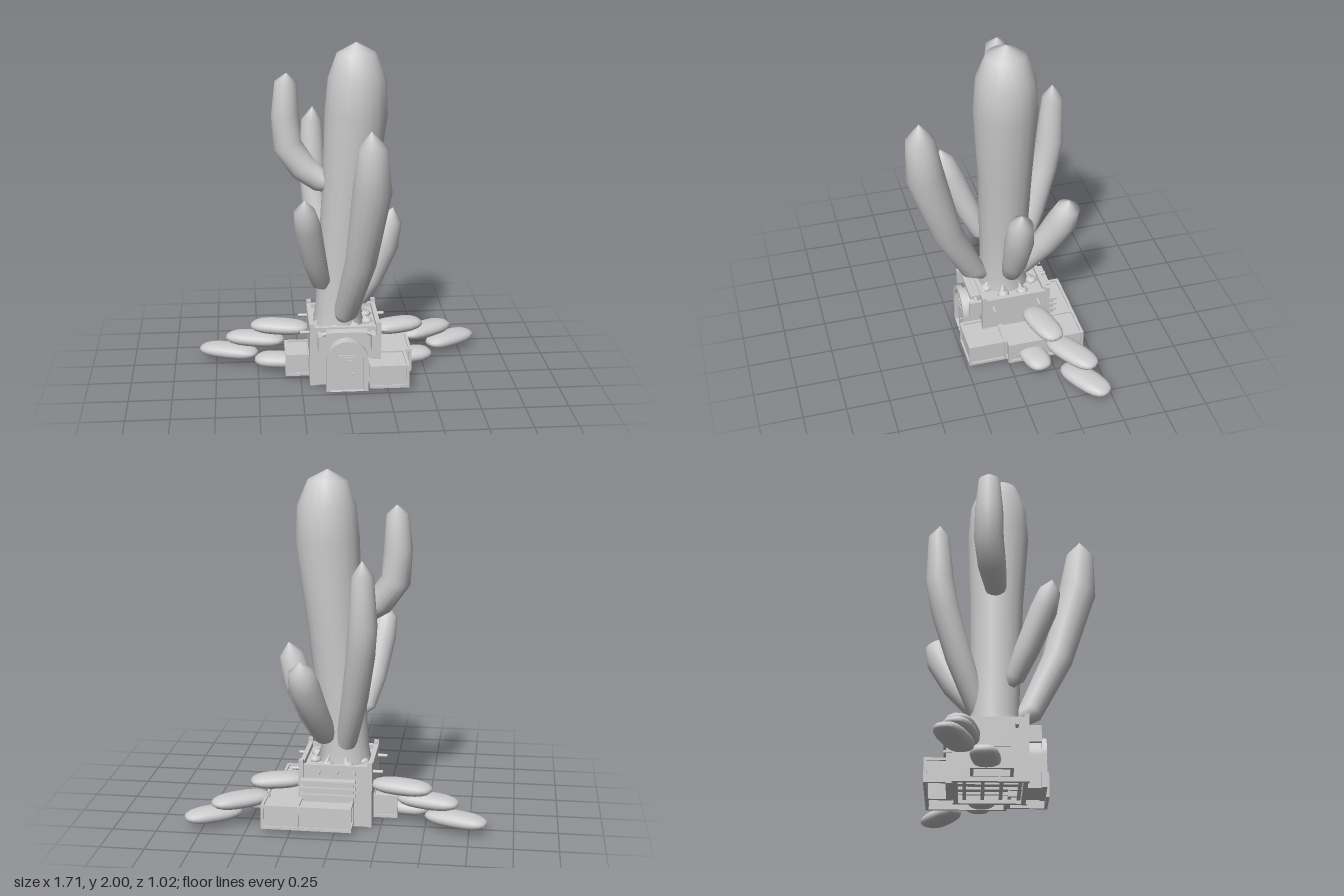
import * as THREE from 'three';
import { mergeVertices } from 'three/addons/utils/BufferGeometryUtils.js';

const material = new THREE.MeshStandardMaterial({ color: 0xcccccc });
const doubleSided = new THREE.MeshStandardMaterial({ color: 0xcccccc, side: THREE.DoubleSide });

function add(parent, name, geometry, x = 0, y = 0, z = 0, mat = material) {
  const mesh = new THREE.Mesh(geometry, mat);
  mesh.name = name;
  mesh.position.set(x, y, z);
  parent.add(mesh);
  return mesh;
}

// Box given by its extents
function block(parent, name, x0, x1, y0, y1, z0, z1) {
  return add(parent, name, new THREE.BoxGeometry(x1 - x0, y1 - y0, z1 - z0),
    (x0 + x1) / 2, (y0 + y1) / 2, (z0 + z1) / 2);
}

// Smooth round limb through sections [x, y, z, radius]
function limb(sections, sides = 18) {
  const pts = sections.map(s => new THREE.Vector3(s[0], s[1], s[2]));
  const pos = [], index = [];
  pts.forEach((p, i) => {
    const T = pts[Math.min(i + 1, pts.length - 1)].clone().sub(pts[Math.max(i - 1, 0)]).normalize();
    const N = new THREE.Vector3(0, 0, 1).addScaledVector(T, -T.z).normalize();
    const B = T.clone().cross(N);
    for (let j = 0; j < sides; j++) {
      const a = j / sides * Math.PI * 2, r = sections[i][3];
      const v = p.clone().addScaledVector(N, r * Math.cos(a)).addScaledVector(B, r * Math.sin(a));
      pos.push(v.x, v.y, v.z);
      if (i < pts.length - 1) {
        const k = i * sides + j, n = i * sides + (j + 1) % sides;
        index.push(k, n, k + sides, n, n + sides, k + sides);
      }
    }
  });
  const g = new THREE.BufferGeometry();
  g.setAttribute('position', new THREE.Float32BufferAttribute(pos, 3));
  g.setIndex(index);
  g.computeVertexNormals();
  return g;
}

// Flattened, squarish pad
function padGeometry() {
  let g = new THREE.SphereGeometry(1, 20, 12);
  g.deleteAttribute('uv');
  g.deleteAttribute('normal');
  g = mergeVertices(g);
  const p = g.attributes.position, soft = v => Math.sign(v) * Math.abs(v) ** 0.75;
  for (let i = 0; i < p.count; i++) p.setXYZ(i, soft(p.getX(i)), p.getY(i), soft(p.getZ(i)));
  g.computeVertexNormals();
  return g;
}

// Hollow framed bin: inset plates, open below, with bars along every edge
function bin(parent, name, x0, x1, y0, y1, z0, z1) {
  const g = new THREE.Group(), b = 0.016, t = 0.008, s = 0.01;
  g.name = name;
  parent.add(g);
  block(g, 'binTop', x0 + s, x1 - s, y1 - s - t, y1 - s, z0 + s, z1 - s);
  block(g, 'binSide', x0 + s, x0 + s + t, y0, y1 - s, z0 + s, z1 - s);
  block(g, 'binSide', x1 - s - t, x1 - s, y0, y1 - s, z0 + s, z1 - s);
  block(g, 'binBack', x0 + s, x1 - s, y0, y1 - s, z0 + s, z0 + s + t);
  block(g, 'binFront', x0 + s, x1 - s, y0, y1 - s, z1 - s - t, z1 - s);
  for (const y of [y0, y1 - b]) {
    for (const z of [z0, z1 - b]) block(g, 'binBar', x0, x1, y, y + b, z, z + b);
    for (const x of [x0, x1 - b]) block(g, 'binBar', x, x + b, y, y + b, z0, z1);
  }
  for (const x of [x0, x1 - b]) for (const z of [z0, z1 - b])
    block(g, 'binPost', x, x + b, y0, y1, z, z + b);
}

function archShape(halfWidth, height) {
  const s = new THREE.Shape();
  s.moveTo(halfWidth, 0);
  s.lineTo(halfWidth, height - halfWidth);
  s.absarc(0, height - halfWidth, halfWidth, 0, Math.PI, false);
  s.lineTo(-halfWidth, 0);
  s.closePath();
  return s;
}

function extrude(shape, depth) {
  return new THREE.ExtrudeGeometry(shape, { depth, bevelEnabled: false, curveSegments: 14 });
}

function createModel() {
  const model = new THREE.Group();
  model.name = 'cactusHouse';

  // Cactus trunk and arms
  const cactus = new THREE.Group();
  cactus.name = 'cactus';
  model.add(cactus);
  const limbs = {
    trunk: [[-0.02, 0.28, -0.07, 0.16], [-0.02, 0.42, -0.07, 0.137], [0, 0.7, -0.065, 0.142], [0.04, 1.15, -0.06, 0.155],
      [0.08, 1.6, -0.05, 0.18], [0.085, 1.8, -0.05, 0.165], [0.08, 1.94, -0.05, 0.11], [0.08, 2, -0.05, 0]],
    frontArm: [[-0.01, 0.39, 0.03, 0.01], [0, 0.42, 0.06, 0.05], [0.01, 0.47, 0.13, 0.07], [0.08, 0.82, 0.29, 0.088],
      [0.13, 1.28, 0.42, 0.108], [0.13, 1.52, 0.44, 0.08], [0.12, 1.61, 0.44, 0]],
    rightArm: [[0.06, 0.44, -0.09, 0.02], [0.1, 0.47, -0.09, 0.06], [0.17, 0.59, -0.09, 0.072], [0.25, 0.8, -0.09, 0.085],
      [0.285, 0.95, -0.09, 0.068], [0.3, 1.02, -0.09, 0]],
    backRightArm: [[0.05, 0.46, -0.11, 0.03], [0.08, 0.5, -0.16, 0.065], [0.13, 0.68, -0.29, 0.08], [0.17, 0.84, -0.37, 0.088],
      [0.185, 0.94, -0.4, 0.068], [0.19, 0.99, -0.4, 0]],
    backLeftArm: [[-0.02, 0.4, -0.12, 0.03], [-0.04, 0.46, -0.16, 0.06], [-0.1, 0.75, -0.27, 0.075], [-0.14, 1.02, -0.35, 0.08],
      [-0.155, 1.2, -0.385, 0.08], [-0.155, 1.48, -0.395, 0.06], [-0.15, 1.56, -0.39, 0]],
    highLeftArm: [[-0.02, 1.17, -0.06, 0.05], [-0.13, 1.2, -0.07, 0.066], [-0.22, 1.27, -0.09, 0.08], [-0.31, 1.4, -0.11, 0.084],
      [-0.32, 1.58, -0.11, 0.08], [-0.315, 1.77, -0.11, 0.062], [-0.31, 1.82, -0.11, 0]],
    lowLeftArm: [[-0.11, 0.58, 0.02, 0.02], [-0.13, 0.62, 0.04, 0.055], [-0.17, 0.78, 0.11, 0.07], [-0.21, 1, 0.2, 0.077],
      [-0.23, 1.11, 0.235, 0.06], [-0.23, 1.18, 0.25, 0]]
  };
  for (const [name, sections] of Object.entries(limbs)) add(cactus, name, limb(sections));

  // Stacked flat pads: inner end x, z, outer end x, z, height
  const pads = new THREE.Group();
  pads.name = 'pads';
  model.add(pads);
  const padGeo = padGeometry();
  for (const [x0, z0, x1, z1, y] of [
    [-0.5, -0.22, -0.85, -0.34, 0.07], [-0.26, -0.1, -0.52, -0.14, 0.07], [-0.34, -0.2, -0.69, -0.29, 0.16],
    [-0.19, -0.2, -0.54, -0.28, 0.235], [0.55, -0.28, 0.84, -0.46, 0.07], [0.3, -0.11, 0.55, -0.17, 0.07],
    [0.39, -0.24, 0.69, -0.43, 0.15], [0.19, -0.17, 0.5, -0.26, 0.233]]) {
    const pad = add(pads, 'pad', padGeo, (x0 + x1) / 2, y, (z0 + z1) / 2);
    pad.scale.set(Math.hypot(x1 - x0, z1 - z0) / 2, 0.043, 0.078);
    pad.rotation.y = Math.atan2(z0 - z1, x1 - x0);
  }

  // House walls, roof and hollow underside
  const house = new THREE.Group();
  house.name = 'house';
  model.add(house);
  block(house, 'roof', -0.18, 0.2, 0.32, 0.335, -0.28, 0.1);
  block(house, 'leftWall', -0.2, -0.175, 0, 0.365, -0.29, 0.11);
  block(house, 'rightWall', 0.19, 0.215, 0, 0.365, -0.29, 0.11);
  block(house, 'frontWall', -0.2, 0.215, 0, 0.36, 0.085, 0.11);
  block(house, 'backWall', -0.2, 0.215, 0, 0.36, -0.29, -0.265);
  block(house, 'backShelf', -0.1, 0.19, 0.02, 0.27, -0.33, -0.28);
  for (const y of [0.19, 0.23, 0.27]) block(house, 'shelfBoard', -0.11, 0.2, y, y + 0.012, -0.345, -0.28);
  for (const x of [-0.2, 0.19]) for (const z of [-0.295, 0.09])
    block(house, 'cornerPost', x, x + 0.027, 0, 0.385, z, z + 0.027);
  for (let i = 0; i < 4; i++) {
    block(house, 'floorJoist', -0.18, 0.2, 0.02, 0.035, -0.24 + i * 0.1, -0.22 + i * 0.1);
    block(house, 'crossJoist', -0.13 + i * 0.09, -0.115 + i * 0.09, 0.035, 0.05, -0.28, 0.1);
  }
  block(house, 'floor', -0.18, 0.2, 0.06, 0.07, -0.28, 0.1);

  // Pegs through the walls
  const peg = new THREE.CylinderGeometry(0.01, 0.01, 0.06, 10);
  for (const x of [-0.225, 0.235]) for (const z of [0.05, -0.22])
    add(house, 'sidePeg', peg, x, 0.31, z).rotation.z = Math.PI / 2;
  for (const x of [-0.1, 0, 0.1]) add(house, 'backPeg', peg, x, 0.32, -0.3).rotation.x = Math.PI / 2;

  // Arched porch, rim and door
  const porch = new THREE.Group();
  porch.name = 'porch';
  porch.position.x = 0.012;
  house.add(porch);
  add(porch, 'porchBody', extrude(archShape(0.105, 0.295), 0.1), 0, 0, 0.09);
  const rim = archShape(0.123, 0.312);
  rim.holes.push(archShape(0.095, 0.284));
  add(porch, 'porchRim', extrude(rim, 0.03), 0, 0, 0.185);
  block(porch, 'doorFrame', -0.052, 0.052, 0.01, 0.22, 0.185, 0.198);
  block(porch, 'door', -0.043, 0.043, 0.015, 0.21, 0.19, 0.204);
  block(porch, 'doorWindow', -0.03, 0.03, 0.14, 0.19, 0.2, 0.208);
  add(porch, 'doorKnob', new THREE.SphereGeometry(0.007, 10, 8), 0.032, 0.11, 0.208);
  const awning = new THREE.CatmullRomCurve3([[-0.155, 0.25], [-0.15, 0.32], [-0.11, 0.335], [0, 0.34], [0.11, 0.335],
    [0.15, 0.32], [0.155, 0.25]].map(([x, y]) => new THREE.Vector3(x, y, 0.14)));
  add(porch, 'hoodPipe', new THREE.TubeGeometry(awning, 30, 0.012, 8), 0, 0, 0, doubleSided);
  block(porch, 'hood', -0.12, 0.12, 0.325, 0.35, 0.1, 0.17);
  for (const x of [-0.155, 0.155]) block(porch, 'hoodBracket', x - 0.012, x + 0.012, 0.24, 0.335, 0.1, 0.185);

  // Framed bins around the house
  bin(model, 'frontRightBin', 0.14, 0.37, 0.025, 0.165, 0.01, 0.24);
  bin(model, 'backRightBin', 0.2, 0.41, 0.025, 0.165, -0.45, 0.01);
  bin(model, 'backBin', -0.1, 0.21, 0.025, 0.165, -0.45, -0.28);
  bin(model, 'leftBin', -0.34, -0.19, 0.025, 0.16, -0.2, 0.03);
  block(model, 'leftBinMullion', -0.255, -0.245, 0.03, 0.155, 0.018, 0.028);

  // Shards and stones on the roof around the trunk
  for (let i = 0; i < 8; i++) {
    const a = i / 8 * Math.PI * 2 + 0.4, c = Math.cos(a), s = Math.sin(a);
    const shard = add(house, 'roofShard', new THREE.ConeGeometry(0.035, 0.1, 6), 0.005 + c * 0.145, 0.355, -0.085 + s * 0.145);
    shard.rotation.set(-s * 0.6, 0, c * 0.6);
    const stone = add(house, 'roofStone', new THREE.IcosahedronGeometry(0.035, 1), 0.005 + s * 0.15, 0.34, -0.085 + c * 0.15);
    stone.scale.y = 0.7;
  }
  return model;
}

export { createModel };
